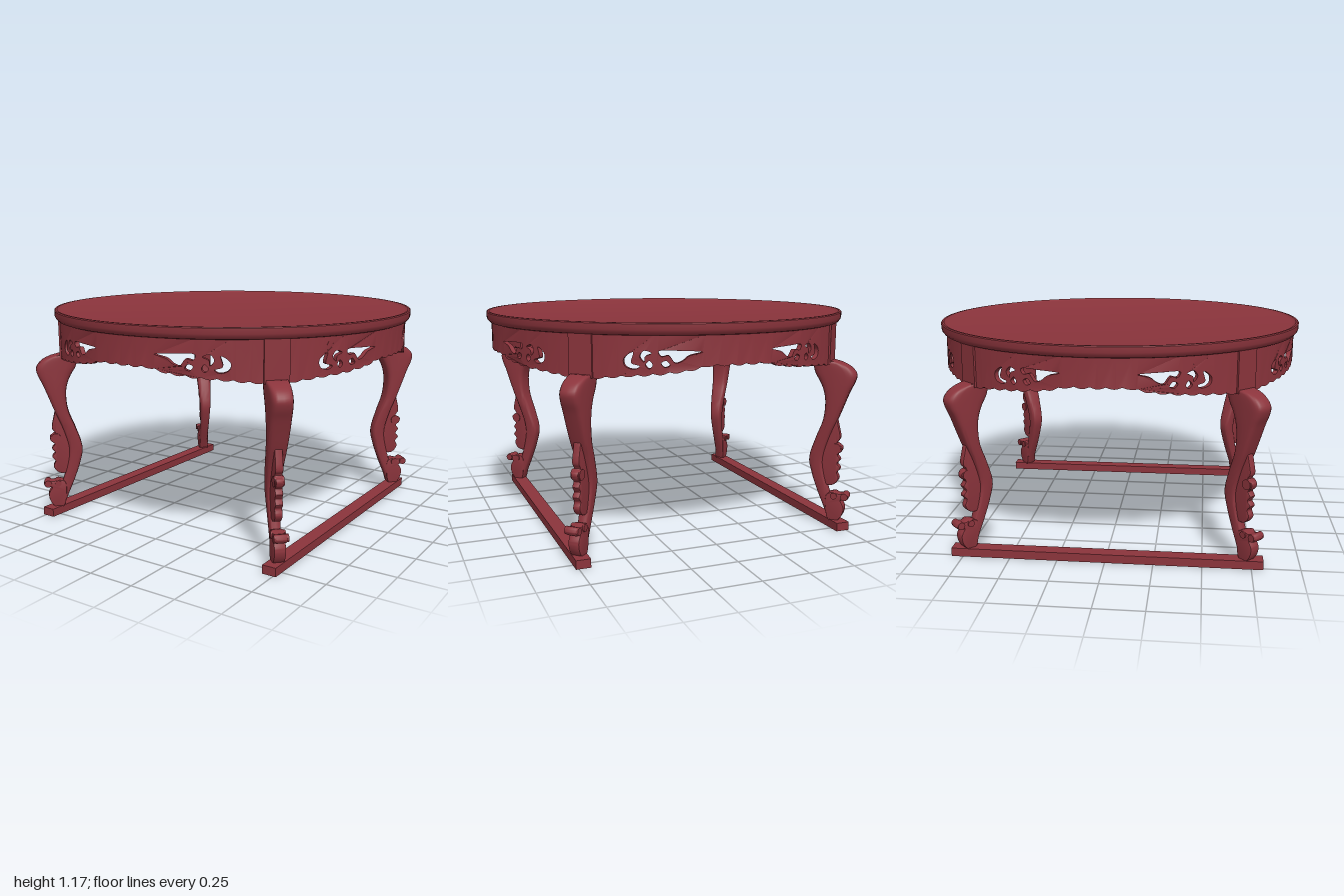
import * as THREE from 'three';
import { toCreasedNormals } from 'three/addons/utils/BufferGeometryUtils.js';

const R = 0.975; // outer radius of the apron
const wood = new THREE.MeshStandardMaterial({ color: 0x8b343c });
wood.name = 'red lacquered wood';

const v2 = ([x, y]) => new THREE.Vector2(x, y);

function addMesh(parent, name, geometry, crease = 0.6) {
  const mesh = new THREE.Mesh(toCreasedNormals(geometry, crease), wood);
  mesh.name = name;
  parent.add(mesh);
  return mesh;
}

// Smooth closed outline through a few points
const smoothOutline = (points, n) =>
  new THREE.CatmullRomCurve3(points.map(([x, y]) => new THREE.Vector3(x, y, 0)), true)
    .getPoints(n).slice(0, -1).map(p => new THREE.Vector2(p.x, p.y));

// Scalloped lower edge of the apron, u = distance along the arc from its middle
const edgeKnots = [[0, 0.975], [0.15, 0.975], [0.25, 0.953], [0.38, 0.938], [0.55, 0.926], [0.72, 0.91]];
function lowerEdge(u) {
  let i = 0;
  while (i < edgeKnots.length - 2 && u > edgeKnots[i + 1][0]) i++;
  const [a, b] = [edgeKnots[i], edgeKnots[i + 1]];
  const base = a[1] + (b[1] - a[1]) * (u - a[0]) / (b[0] - a[0]);
  return base - 0.01 * Math.abs(Math.cos(u * Math.PI / 0.075));
}

// Half an apron is made of short cells, some of them pierced
const cells = [
  { from: 0, to: 0.085, holes: [] },
  { from: 0.085, to: 0.17, holes: [] },
  { from: 0.17, to: 0.405, holes: [
    [[0.182, 1.034], [0.29, 1.042], [0.388, 1.04], [0.375, 1.015], [0.34, 1.02], [0.31, 0.985], [0.275, 0.995], [0.245, 1.018]],
    [[0.35, 0.995], [0.375, 0.985], [0.36, 0.965], [0.335, 0.973]],
  ] },
  { from: 0.405, to: 0.575, holes: [
    [[0.42, 1.03], [0.455, 1.042], [0.475, 1.015], [0.455, 0.99], [0.45, 1.015]],
    [[0.43, 0.995], [0.448, 0.975], [0.43, 0.958], [0.415, 0.975]],
    [[0.505, 1.035], [0.55, 1.005], [0.545, 0.97], [0.5, 0.955], [0.475, 0.97], [0.515, 0.985]],
  ] },
  { from: 0.575, to: 0.65, holes: [] },
  { from: 0.65, to: 0.72, holes: [] },
];

function apronCell({ from, to, holes }, side) {
  const points = [];
  const n = Math.round((to - from) / 0.01);
  const at = i => from + (to - from) * i / n;
  for (let i = 0; i <= n; i++) points.push([side * at(i), lowerEdge(at(i))]);
  for (let i = n; i >= 0; i--) points.push([side * at(i), 1.115]);
  const shape = new THREE.Shape(points.map(v2));
  shape.holes = holes.map(h => new THREE.Path(smoothOutline(h.map(([u, y]) => [side * u, y]), 28)));
  const thickness = 0.025;
  const geo = new THREE.ExtrudeGeometry(shape, { depth: thickness, bevelEnabled: false });
  // Bend the flat panel round the table
  const p = geo.attributes.position;
  for (let i = 0; i < p.count; i++) {
    const r = R - thickness + p.getZ(i), a = p.getX(i) / R;
    p.setXYZ(i, r * Math.sin(a), p.getY(i), r * Math.cos(a));
  }
  return geo;
}

// Cabriole leg body: bottom to top, [inner radius, height, outer radius]
const legProfile = [
  [1.0, 0.03, 1.045], [0.973, 0.1, 1.03], [0.93, 0.2, 0.995], [0.895, 0.3, 0.965],
  [0.88, 0.38, 0.955], [0.914, 0.5, 0.985], [0.95, 0.6, 1.025], [0.958, 0.7, 1.062],
  [0.947, 0.76, 1.085], [0.925, 0.81, 1.108], [0.9, 0.85, 1.115], [0.89, 0.885, 1.09],
  [0.89, 0.91, 1.045], [0.9, 0.922, 1.0],
];

function legBody() {
  const curve = new THREE.CatmullRomCurve3(legProfile.map(p => new THREE.Vector3(...p)));
  const rings = 48, sides = 24, pos = [], idx = [];
  const round = c => Math.sign(c) * Math.sqrt(Math.abs(c)); // rounded square section
  for (let i = 0; i <= rings; i++) {
    const s = curve.getPoint(i / rings);
    const half = 0.027 + 0.028 * THREE.MathUtils.smoothstep(s.y, 0.15, 0.8);
    for (let j = 0; j < sides; j++) {
      const a = j / sides * Math.PI * 2;
      pos.push((s.x + s.z) / 2 + (s.z - s.x) / 2 * round(Math.cos(a)), s.y, half * round(Math.sin(a)));
    }
  }
  for (let j = 0; j < sides; j++) {
    const k = (j + 1) % sides;
    for (let i = 0; i < rings; i++) {
      const a = i * sides, b = a + sides;
      idx.push(a + j, b + j, a + k, b + j, b + k, a + k);
    }
    const top = rings * sides;
    if (j > 0 && j < sides - 1) idx.push(top, top + k, top + j, 0, j, k);
  }
  const geo = new THREE.BufferGeometry();
  geo.setAttribute('position', new THREE.Float32BufferAttribute(pos, 3));
  geo.setIndex(idx);
  return geo;
}

// Flat carving standing in the radial plane of a leg
function carving(points, width, n) {
  const b = 0.006;
  const geo = new THREE.ExtrudeGeometry(new THREE.Shape(smoothOutline(points, n)), {
    depth: width - 2 * b, bevelThickness: b, bevelSize: b, bevelOffset: -b, bevelSegments: 2,
  });
  return geo.translate(0, 0, b - width / 2);
}

const frontCarving = [
  [1.01, 0.63], [1.035, 0.56], [1.045, 0.5], [1.03, 0.475], [1.058, 0.455], [1.055, 0.43], [1.035, 0.41],
  [1.05, 0.385], [1.035, 0.36], [1.052, 0.335], [1.035, 0.31], [1.046, 0.28], [1.03, 0.25], [1.0, 0.235],
  [0.955, 0.25], [0.93, 0.36], [0.945, 0.48], [0.98, 0.6],
];
const footScroll = [
  [1.0, 0.04], [1.045, 0.04], [1.073, 0.075], [1.08, 0.12], [1.062, 0.158], [1.09, 0.158],
  [1.105, 0.18], [1.09, 0.2], [1.055, 0.193], [1.02, 0.2], [0.985, 0.185], [0.98, 0.12],
];

function makeLeg() {
  const leg = new THREE.Group();
  leg.name = 'leg';
  addMesh(leg, 'legBody', legBody(), 0.8);
  addMesh(leg, 'legCarving', carving(frontCarving, 0.04, 90));
  addMesh(leg, 'footScroll', carving(footScroll, 0.06, 60));
  // Rolled ends of the scroll and a rosette on the carving
  const roll = (name, r, y, radius, length) =>
    addMesh(leg, name, new THREE.CylinderGeometry(radius, radius, length, 16).rotateX(Math.PI / 2).translate(r, y, 0));
  roll('scrollRoll', 1.082, 0.18, 0.02, 0.075);
  roll('innerScrollRoll', 1.025, 0.18, 0.018, 0.075);
  roll('carvingRosette', 1.025, 0.445, 0.027, 0.05);
  // Post joining the leg to the apron
  addMesh(leg, 'legPost', new THREE.BoxGeometry(0.055, 0.21, 0.125).translate(0.955, 1.01, 0));
  return leg;
}

export function createModel() {
  const table = new THREE.Group();
  table.name = 'roundTable';

  // Top with a raised rim
  const rim = [[0, 1.111], [0.972, 1.111], [0.985, 1.115], [0.996, 1.128], [1, 1.14], [1, 1.167],
    [0.995, 1.172], [0.985, 1.172], [0.976, 1.165], [0.965, 1.163], [0, 1.163]];
  addMesh(table, 'tableTop', new THREE.LatheGeometry(rim.map(v2), 128));

  for (let q = 0; q < 4; q++) {
    const apron = new THREE.Group();
    apron.name = 'apron';
    for (const cell of cells) for (const side of [1, -1]) addMesh(apron, 'apronPanel', apronCell(cell, side));
    apron.rotation.y = q * Math.PI / 2;
    table.add(apron);

    const leg = makeLeg();
    leg.rotation.y = Math.PI / 4 + q * Math.PI / 2;
    table.add(leg);
  }

  // Floor runners joining the front and back feet
  for (const side of [1, -1]) {
    addMesh(table, 'floorRunner', new THREE.BoxGeometry(0.075, 0.045, 1.62).translate(side * 0.728, 0.0225, 0));
  }
  return table;
}
